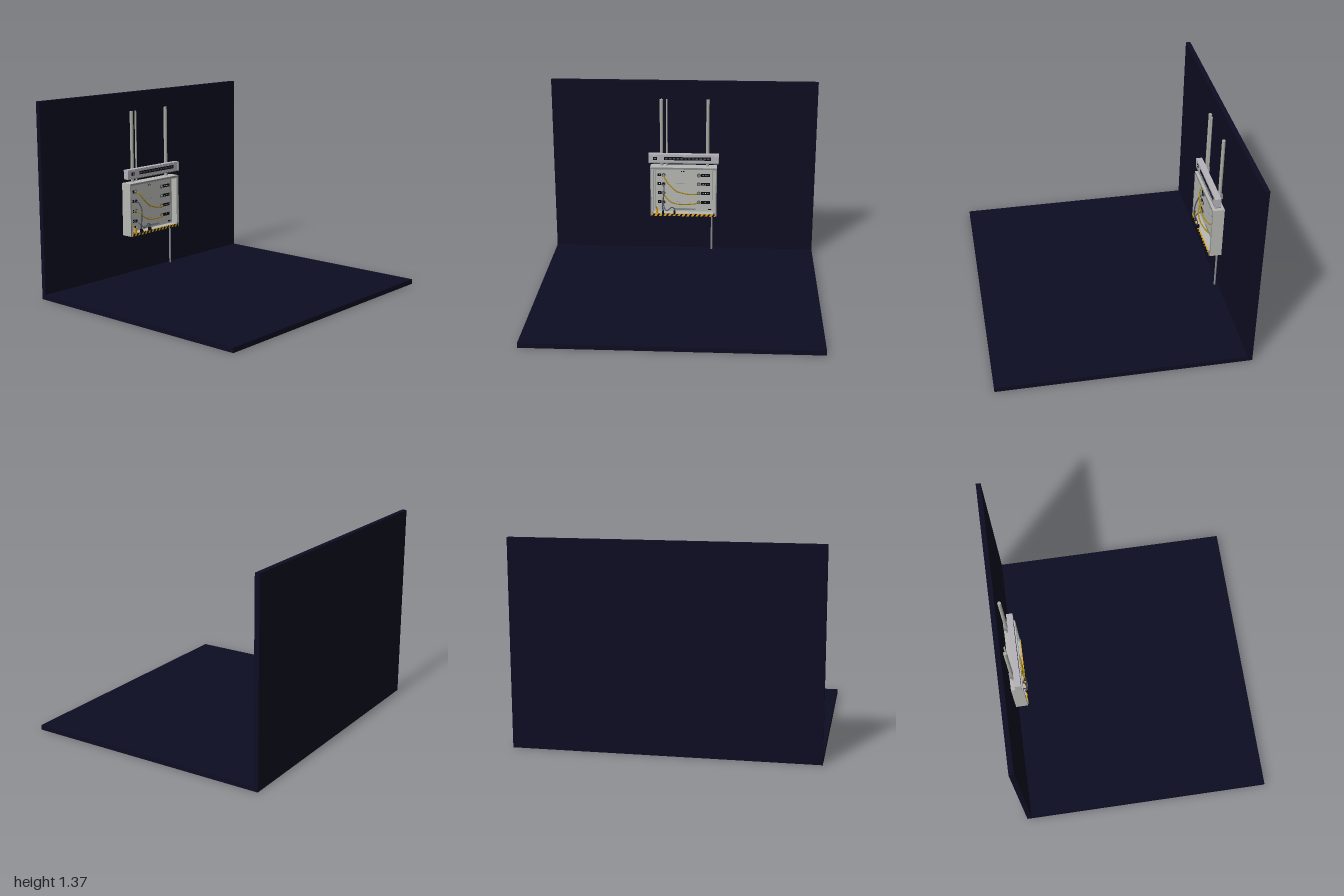
import * as THREE from 'three';

function mat(name, color) {
  const m = new THREE.MeshStandardMaterial({ color });
  m.name = name;
  return m;
}

export function createModel() {
  const model = new THREE.Group();
  const navy = mat('navy', 0x0d0d22);
  const grey = mat('light grey', 0xb8b8b4);
  const steel = mat('steel grey', 0x858b8e);
  const pipeGrey = mat('pipe grey', 0xaaaaa4);
  const lilac = mat('lilac grey', 0xb6b2ba);
  const black = mat('black', 0x0c0c16);
  const white = mat('white', 0xe6e6e6);
  const yellow = mat('yellow', 0xdca51c);
  const cableYellow = mat('cable yellow', 0xa88408);
  const cableGrey = mat('cable grey', 0x50555c);

  const add = (name, geo, m, parent = model) => {
    const mesh = new THREE.Mesh(geo, m);
    mesh.name = name;
    parent.add(mesh);
    return mesh;
  };
  // Box given by its limits on each axis
  const box = (name, m, x0, x1, y0, y1, z0, z1, parent) => {
    const mesh = add(name, new THREE.BoxGeometry(x1 - x0, y1 - y0, z1 - z0), m, parent);
    mesh.position.set((x0 + x1) / 2, (y0 + y1) / 2, (z0 + z1) / 2);
    return mesh;
  };
  const pipe = (name, m, x, y0, y1, z, r) => {
    const mesh = add(name, new THREE.CylinderGeometry(r, r, y1 - y0, 24), m);
    mesh.position.set(x, (y0 + y1) / 2, z);
  };
  const cable = (name, m, r, pts, parent) => {
    const curve = new THREE.CatmullRomCurve3(pts.map(p => new THREE.Vector3(...p)));
    add(name, new THREE.TubeGeometry(curve, 48, r, 8), m, parent);
  };

  // Room
  box('floor', navy, -1, 1, 0, 0.034, -0.866, 0.866);
  box('wall', navy, -1, 1, 0, 1.37, -0.866, -0.833);

  // Conduits
  pipe('conduitLeft', pipeGrey, -0.17, 0.7, 1.235, -0.811, 0.0125);
  pipe('conduitThin', pipeGrey, -0.129, 0.7, 1.235, -0.811, 0.0065);
  pipe('conduitRight', pipeGrey, 0.181, 0.7, 1.235, -0.811, 0.0125);
  pipe('earthConduit', steel, 0.218, 0.034, 0.34, -0.811, 0.007);

  // Horizontal socket rail
  const rail = new THREE.Group();
  rail.name = 'socketRail';
  model.add(rail);
  box('railBody', grey, -0.262, 0.262, 0.752, 0.815, -0.8, -0.762, rail);
  box('railFace', lilac, -0.255, 0.255, 0.758, 0.81, -0.762, -0.759, rail);
  box('railTopLip', lilac, -0.267, 0.262, 0.811, 0.818, -0.8, -0.757, rail);
  box('railBottomLip', steel, -0.262, 0.267, 0.747, 0.754, -0.8, -0.757, rail);
  for (const s of [-1, 1]) {
    const x = s * 0.263;
    box('railEndCap', lilac, x - 0.004, x + 0.004, 0.75, 0.818, -0.8, -0.756, rail);
  }
  box('socketStrip', black, -0.147, 0.207, 0.774, 0.798, -0.759, -0.756, rail);
  for (let i = 0; i < 12; i++) {
    const x = -0.13 + i * 0.029;
    box('socket', cableGrey, x - 0.009, x + 0.009, 0.781, 0.791, -0.756, -0.755, rail);
  }
  box('railSwitch', black, -0.231, -0.201, 0.774, 0.797, -0.759, -0.755, rail);
  box('switchRocker', white, -0.219, -0.212, 0.782, 0.79, -0.755, -0.753, rail);
  for (const x of [-0.17, 0.181]) box('railClip', steel, x - 0.016, x + 0.016, 0.77, 0.8, -0.83, -0.8, rail);

  // Open cabinet: frame with a recessed panel
  const cab = new THREE.Group();
  cab.name = 'cabinet';
  model.add(cab);
  const frame = new THREE.Shape();
  frame.moveTo(-0.254, 0.326).lineTo(0.254, 0.326).lineTo(0.254, 0.716).lineTo(-0.254, 0.716).closePath();
  const hole = new THREE.Path();
  hole.moveTo(-0.232, 0.347).lineTo(-0.232, 0.696).lineTo(0.232, 0.696).lineTo(0.232, 0.347).closePath();
  frame.holes.push(hole);
  const frameGeo = new THREE.ExtrudeGeometry(frame, { depth: 0.083, bevelEnabled: false });
  add('cabinetFrame', frameGeo, grey, cab).position.z = -0.833;
  box('cabinetPanel', grey, -0.233, 0.233, 0.346, 0.697, -0.833, -0.8, cab);
  // Dark edging around the rim
  box('topTrim', steel, -0.254, 0.254, 0.702, 0.716, -0.75, -0.748, cab);
  for (const s of [-1, 1]) {
    box('sideTrim', steel, s * 0.2505 - 0.0035, s * 0.2505 + 0.0035, 0.326, 0.702, -0.75, -0.748, cab);
    box('innerTrim', steel, s * 0.219 - 0.0015, s * 0.219 + 0.0015, 0.36, 0.69, -0.8, -0.798, cab);
  }

  // Hazard strip along the bottom rim
  box('hazardStrip', yellow, -0.245, 0.245, 0.326, 0.345, -0.75, -0.743, cab);
  const stripe = new THREE.Shape();
  stripe.moveTo(0, 0).lineTo(0.015, 0).lineTo(0.027, 0.019).lineTo(0.012, 0.019).closePath();
  const stripeGeo = new THREE.ExtrudeGeometry(stripe, { depth: 0.001, bevelEnabled: false });
  for (let i = 0; i < 14; i++) {
    add('hazardStripe', stripeGeo, black, cab).position.set(-0.24 + i * 0.0352, 0.326, -0.743);
  }

  // Four rows of connectors with plates
  const ringGeo = new THREE.TorusGeometry(0.011, 0.004, 8, 24);
  const plugGeo = new THREE.CylinderGeometry(0.008, 0.008, 0.014, 16).rotateX(Math.PI / 2);
  [0.642, 0.571, 0.497, 0.423].forEach((y, row) => {
    box('inputPlate', black, -0.2, -0.173, y - 0.011, y + 0.011, -0.8, -0.796, cab);
    box('inputMark', white, -0.19, -0.183, y - 0.003, y + 0.003, -0.796, -0.795, cab);
    box('outputPlate', black, 0.134, 0.203, y - 0.011, y + 0.011, -0.8, -0.796, cab);
    for (let i = 0; i < (row === 3 ? 1 : 3); i++) {
      const x = (row === 3 ? 0.168 : 0.15) + i * 0.018;
      box('outputMark', white, x - 0.005, x + 0.005, y - 0.002, y + 0.002, -0.796, -0.795, cab);
    }
    for (const x of [-0.155, 0.116]) {
      add('connectorRing', ringGeo, cableGrey, cab).position.set(x, y, -0.796);
      add('connectorPlug', plugGeo, x < 0 && row % 2 ? black : steel, cab).position.set(x, y, -0.793);
    }
    box('rowLine', steel, -0.055, row ? 0.02 : -0.035, y - 0.001, y + 0.001, -0.8, -0.799, cab);
  });

  // Panel labels
  box('topLabel', cableGrey, -0.035, 0.015, 0.683, 0.69, -0.8, -0.798, cab);
  for (const x of [-0.018, 0.0]) box('indicator', black, x - 0.004, x + 0.004, 0.668, 0.675, -0.8, -0.797, cab);
  box('bottomLabel', steel, -0.07, 0.09, 0.358, 0.372, -0.8, -0.798, cab);
  box('cornerLabel', black, 0.188, 0.213, 0.36, 0.37, -0.8, -0.797, cab);

  // Patch cables
  cable('upperYellowCable', cableYellow, 0.0045, [[-0.155, 0.642, -0.79], [-0.148, 0.632, -0.77],
    [-0.115, 0.585, -0.755], [-0.055, 0.53, -0.75], [0.03, 0.504, -0.752], [0.1, 0.497, -0.772], [0.116, 0.497, -0.79]], cab);
  cable('lowerYellowCable', cableYellow, 0.0045, [[-0.155, 0.497, -0.79], [-0.147, 0.488, -0.77],
    [-0.11, 0.45, -0.752], [-0.06, 0.427, -0.748], [0.02, 0.421, -0.752], [0.1, 0.422, -0.772], [0.116, 0.423, -0.79]], cab);
  cable('greyCable', cableGrey, 0.005, [[-0.155, 0.571, -0.79], [-0.15, 0.553, -0.762], [-0.148, 0.51, -0.742],
    [-0.157, 0.45, -0.735], [-0.16, 0.4, -0.737], [-0.155, 0.365, -0.745]], cab);
  cable('looseLead', cableGrey, 0.004, [[-0.155, 0.423, -0.79], [-0.148, 0.395, -0.745], [-0.13, 0.375, -0.733],
    [-0.11, 0.385, -0.733], [-0.09, 0.4, -0.738], [-0.07, 0.39, -0.738], [-0.068, 0.36, -0.74]], cab);

  // Clips and plugs standing on the lower rim
  for (const x of [-0.155, -0.068]) box('leadPlug', black, x - 0.007, x + 0.007, 0.345, 0.37, -0.752, -0.73, cab);
  box('testerBody', yellow, -0.212, -0.198, 0.347, 0.385, -0.765, -0.745, cab);
  box('testerTip', black, -0.208, -0.202, 0.385, 0.397, -0.758, -0.751, cab);
  for (const x of [-0.235, 0.235]) box('rimLatch', steel, x - 0.006, x + 0.006, 0.346, 0.358, -0.75, -0.74, cab);

  return model;
}
